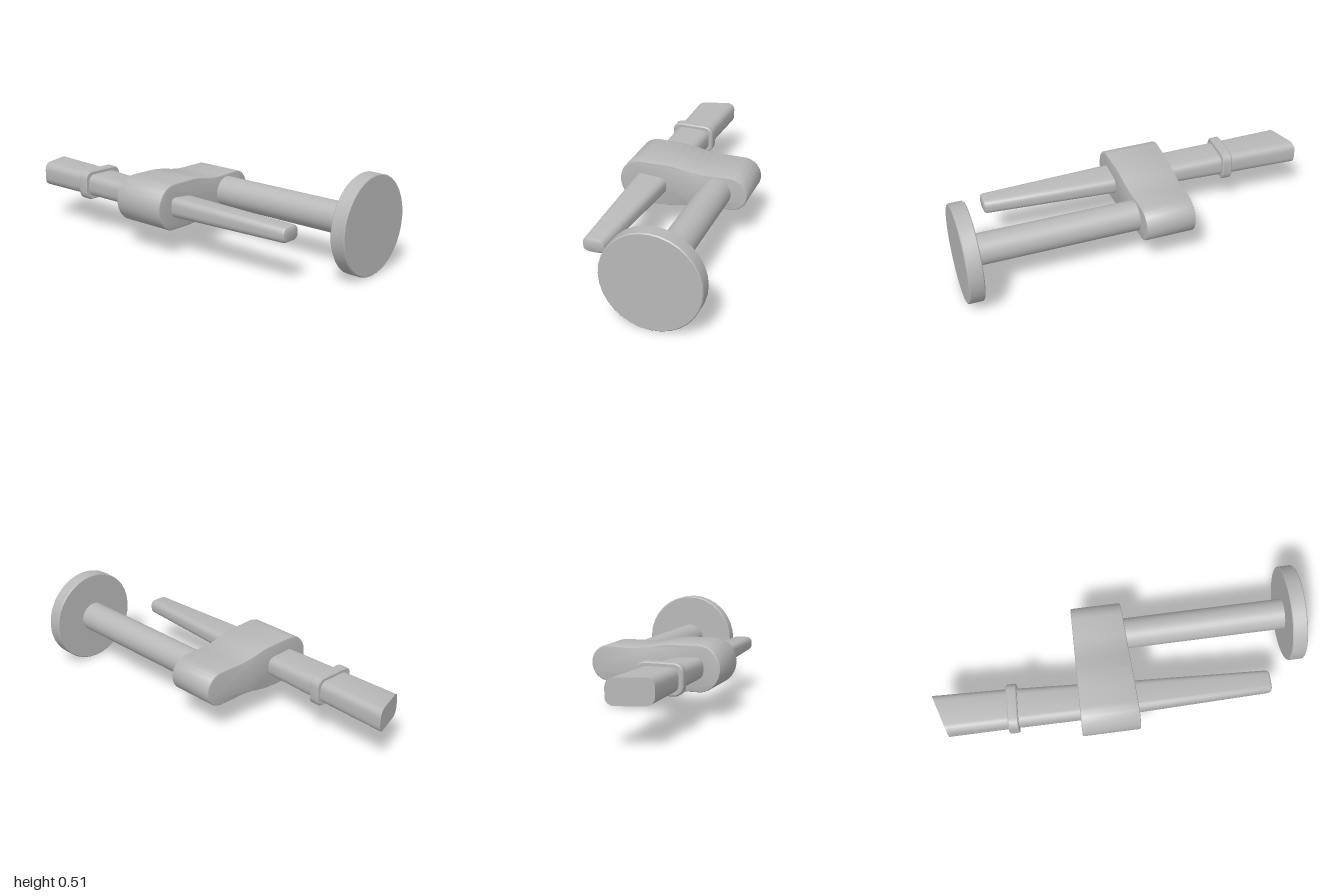
import * as THREE from 'three';
import { toCreasedNormals } from 'three/addons/utils/BufferGeometryUtils.js';

const CY = 0.26; // height of the common axis

// Rounded section in the z/y plane; drop lowers the top towards the back
function section({ x, z0, z1, y0, y1, r, lean = 0, drop = 0 }) {
  const pts = [];
  const corners = [[z1 - r, y1 - r], [z0 + r, y1 - r], [z0 + r, y0 + r], [z1 - r, y0 + r]];
  corners.forEach(([cz, cy], k) => {
    for (let i = 0; i <= 4; i++) {
      const a = (k + i / 4) * Math.PI / 2;
      const z = cz + r * Math.cos(a);
      const y = cy + r * Math.sin(a);
      const back = (z1 - z) / (z1 - z0);
      const up = (y - y0) / (y1 - y0);
      pts.push([x + lean * (1 - back), y - drop * back * up, z]);
    }
  });
  return pts;
}

// Skin a row of sections running towards +x, closed at both ends
function loft(rows) {
  const rings = rows.map(section);
  const n = rings[0].length;
  const pos = rings.flat(2);
  const index = [];
  for (let j = 0; j < rings.length - 1; j++) {
    for (let i = 0; i < n; i++) {
      const a = j * n + i, b = j * n + (i + 1) % n;
      index.push(a, a + n, b, b, a + n, b + n);
    }
  }
  const last = (rings.length - 1) * n;
  for (let i = 1; i < n - 1; i++) {
    index.push(0, i, i + 1);
    index.push(last, last + i + 1, last + i);
  }
  // wind outward: sections run from +z to +y, seen from -x
  for (let i = 0; i < index.length; i += 3) {
    const [A, B, C] = [0, 1, 2].map(k => new THREE.Vector3().fromArray(pos, index[i + k] * 3));
    const normal = B.clone().sub(A).cross(C.clone().sub(A));
    const mid = A.clone().add(B).add(C).divideScalar(3);
    const ring = rings[Math.floor(index[i] / n)];
    const centre = ring.reduce((s, p) => s.add(new THREE.Vector3(...p)), new THREE.Vector3()).divideScalar(n);
    const isCap = i >= (rings.length - 1) * n * 6;
    const out = isCap ? new THREE.Vector3(index[i] < n ? -1 : 1, 0, 0) : mid.sub(centre).setX(0);
    if (normal.dot(out) < 0) [index[i + 1], index[i + 2]] = [index[i + 2], index[i + 1]];
  }
  const geo = new THREE.BufferGeometry();
  geo.setAttribute('position', new THREE.Float32BufferAttribute(pos, 3));
  geo.setIndex(index);
  return toCreasedNormals(geo, 0.6);
}

// Turned part along x with small edge bevels
function turned(radius, x0, x1, bevel, sides) {
  const profile = [
    [0, x0], [radius - bevel, x0], [radius, x0 + bevel],
    [radius, x1 - bevel], [radius - bevel, x1], [0, x1],
  ].map(([r, x]) => new THREE.Vector2(r, x));
  const geo = new THREE.LatheGeometry(profile, sides);
  geo.rotateZ(-Math.PI / 2);
  geo.translate(0, CY, -0.143);
  return toCreasedNormals(geo, 0.6);
}

// Connecting arm: tall front end flowing into a slim rear end
function hubGeometry() {
  const H = 0.123, h = 0.095;
  const s = new THREE.Shape(); // shape x is -z
  s.moveTo(-0.28, -H);
  s.lineTo(-0.17, -H);
  s.bezierCurveTo(-0.04, -H, 0.0, -h + 0.01, 0.12, -h);
  s.lineTo(0.22, -h);
  s.absellipse(0.22, 0, h, h, -Math.PI / 2, Math.PI / 2, false);
  s.lineTo(0.12, h);
  s.bezierCurveTo(0.0, h - 0.01, -0.04, H, -0.17, H);
  s.lineTo(-0.28, H);
  s.absellipse(-0.28, 0, 0.116, H, Math.PI / 2, Math.PI * 1.5, false);
  const b = 0.008;
  const geo = new THREE.ExtrudeGeometry(s, {
    depth: 0.31 - 2 * b, bevelThickness: b, bevelSize: b, bevelOffset: -b,
    bevelSegments: 2, curveSegments: 14,
  });
  geo.translate(0, 0, b - 0.155);
  geo.rotateY(Math.PI / 2);
  // narrow the arm towards the rear
  const p = geo.attributes.position;
  for (let i = 0; i < p.count; i++) {
    const t = (0.39 - p.getZ(i)) / 0.7;
    p.setX(i, p.getX(i) * (1 - 0.13 * t));
  }
  geo.translate(-0.085, CY + 0.002, 0);
  geo.deleteAttribute('normal');
  return toCreasedNormals(geo, 0.6);
}

export function createModel() {
  const model = new THREE.Group();
  const grey = new THREE.MeshStandardMaterial({ color: 0xb8b8b8 });
  grey.name = 'plain grey';
  const add = (name, geo) => {
    const mesh = new THREE.Mesh(geo, grey);
    mesh.name = name;
    model.add(mesh);
  };

  add('endDisc', turned(0.257, 0.92, 1.0, 0.005, 32));
  add('rod', turned(0.082, -0.1, 0.93, 0.001, 32));
  add('connectingArm', hubGeometry());

  // Tapered bar with a slanted left end, passing through the arm
  add('taperedBar', loft([
    { x: -1.0, z0: 0.086, z1: 0.302, y0: 0.2, y1: 0.33, r: 0.04, lean: 0.065 },
    { x: -0.6, z0: 0.1, z1: 0.303, y0: 0.203, y1: 0.325, r: 0.04 },
    { x: -0.24, z0: 0.118, z1: 0.306, y0: 0.205, y1: 0.32, r: 0.04, drop: 0.008 },
    { x: 0.07, z0: 0.135, z1: 0.304, y0: 0.208, y1: 0.316, r: 0.035, drop: 0.018 },
    { x: 0.77, z0: 0.174, z1: 0.292, y0: 0.223, y1: 0.301, r: 0.03 },
    { x: 0.78, z0: 0.179, z1: 0.288, y0: 0.228, y1: 0.297, r: 0.028 },
    { x: 0.784, z0: 0.187, z1: 0.28, y0: 0.235, y1: 0.29, r: 0.024 },
  ]));

  // Collar around the bar
  const collar = { z0: 0.08, z1: 0.325, y0: 0.185, y1: 0.345, r: 0.045, lean: -0.01 };
  const inset = { ...collar, z0: 0.086, z1: 0.319, y0: 0.191, y1: 0.339, r: 0.041 };
  add('collar', loft([
    { ...inset, x: -0.608 }, { ...collar, x: -0.602 },
    { ...collar, x: -0.558 }, { ...inset, x: -0.552 },
  ]));

  return model;
}
